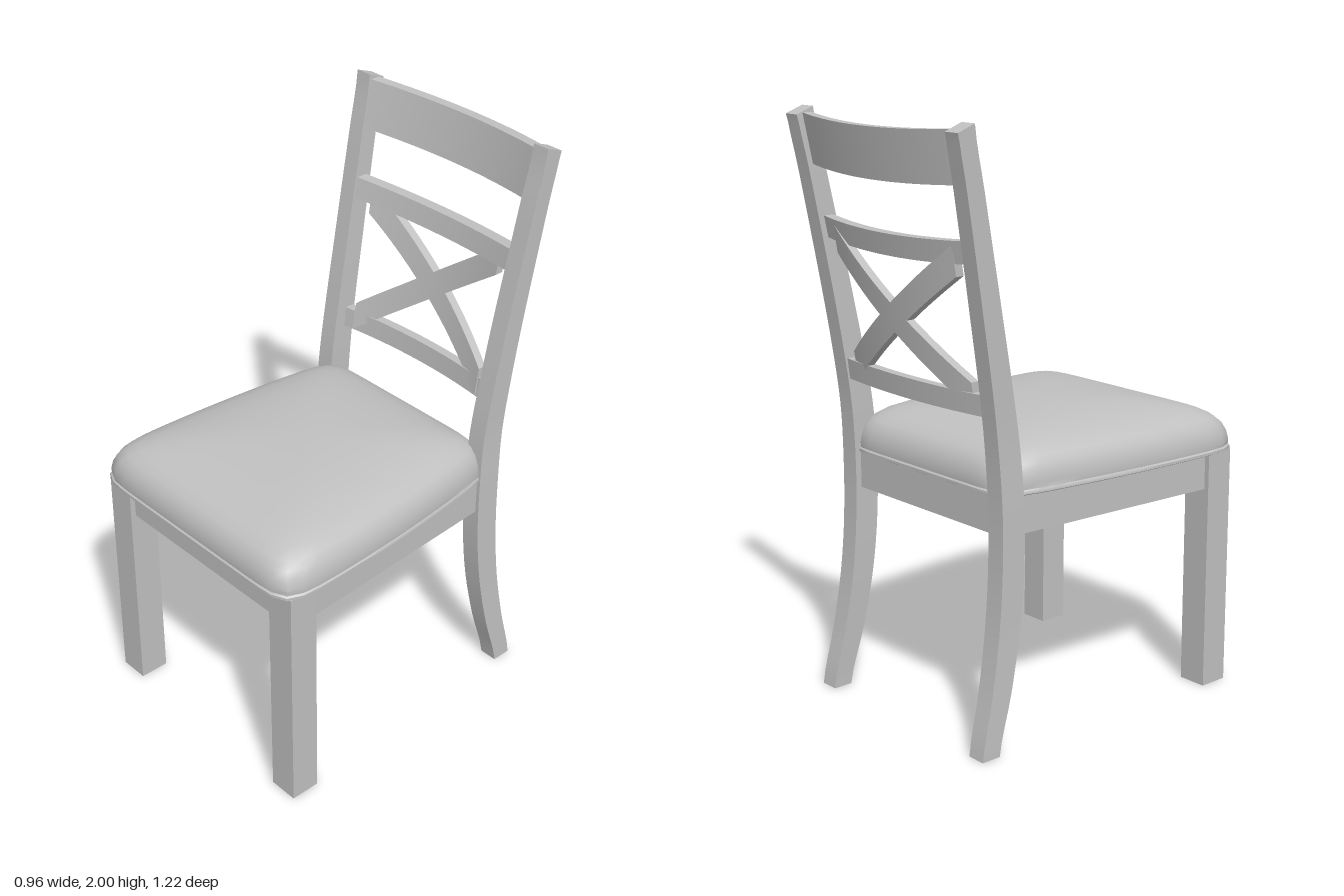
import * as THREE from 'three';
import { toCreasedNormals } from 'three/addons/utils/BufferGeometryUtils.js';

const grey = new THREE.MeshStandardMaterial({ color: 0xc0c0c0 });
grey.name = 'plain grey';

function add(group, name, geometry) {
  const mesh = new THREE.Mesh(geometry, grey);
  mesh.name = name;
  group.add(mesh);
  return mesh;
}

// Subdivided box whose vertices are moved by a rule
function bentBox(w, h, d, sx, sy, rule) {
  const geo = new THREE.BoxGeometry(w, h, d, sx, sy, 1);
  const pos = geo.attributes.position;
  const p = new THREE.Vector3();
  for (let i = 0; i < pos.count; i++) {
    rule(p.fromBufferAttribute(pos, i));
    pos.setXYZ(i, p.x, p.y, p.z);
  }
  geo.computeVertexNormals();
  return geo;
}

// Back post: [x centre, z centre, width, depth] at equal height steps of 0.2
const POST = [
  [0.395, -0.469, 0.066, 0.07], [0.389, -0.42, 0.068, 0.08], [0.383, -0.383, 0.07, 0.086],
  [0.38, -0.364, 0.07, 0.09], [0.378, -0.362, 0.07, 0.09], [0.375, -0.375, 0.066, 0.087],
  [0.378, -0.405, 0.065, 0.08], [0.382, -0.441, 0.064, 0.075], [0.388, -0.479, 0.063, 0.07],
  [0.394, -0.518, 0.062, 0.066], [0.4, -0.557, 0.06, 0.064],
];

function postGeometry(side) {
  const centre = new THREE.SplineCurve(POST.map(r => new THREE.Vector2(r[0], r[1])));
  const size = new THREE.SplineCurve(POST.map(r => new THREE.Vector2(r[2], r[3])));
  return bentBox(1, 2, 1, 1, 40, p => {
    const t = (p.y + 1) / 2;
    const c = centre.getPoint(t), s = size.getPoint(t);
    // the top end is cut slightly sloping
    p.y = 2 * t - (t > 0.999 ? 0.024 * (0.5 - p.z) : 0);
    p.x = side * c.x + p.x * s.x;
    p.z = c.y + p.z * s.y;
  });
}

// Back rail bowed backwards in plan, leaning with the posts
function railGeometry({ y, h, d, z, bow, lean, dip }) {
  return bentBox(0.76, h, d, 24, 1, p => {
    const k = 1 - (p.x / 0.38) ** 2;
    p.z += z - bow * k - lean * p.y;
    p.y += y - dip * k;
  });
}

// Diagonal strip of the cross brace
function braceGeometry(side) {
  return bentBox(1, 0.098, 0.03, 24, 1, p => {
    const u = p.x * 2;                       // -1 lower end, 1 upper end
    const x = 0.3 * u;
    p.y += 1.365 + 0.216 * u;
    p.x = side * x;
    if (side < 0) p.z = -p.z;                // keeps faces outward when mirrored
    p.z += -0.449 - 0.04 * (1 - u * u) - 0.17 * (p.y - 1.365);
  });
}

// Cushion made of nested rounded outlines: [inset, height]
function cushionGeometry() {
  const rings = [
    [0.504, 0.835], [0.008, 0.835], [0, 0.839], [0, 0.848], [0.005, 0.853], [0.004, 0.87],
    [0.01, 0.9], [0.022, 0.928], [0.042, 0.95], [0.075, 0.969], [0.12, 0.985],
    [0.19, 1.0], [0.28, 1.012], [0.39, 1.019], [0.504, 1.022],
  ];
  const N = 80, verts = [], index = [];
  rings.forEach(([inset, y], j) => {
    const n = 12 - 8 * Math.min(1, inset / 0.4);
    const k = 1 - inset / 0.505;
    for (let i = 0; i < N; i++) {
      const a = (i / N) * Math.PI * 2, c = Math.cos(a), s = Math.sin(a);
      const r = (Math.abs(c) ** n + Math.abs(s) ** n) ** (-1 / n);
      const v = s * r * k;                   // depth position, -1 back to 1 front
      const half = 0.464 + 0.043 * v - 0.024 * v * v;
      verts.push(c * r * k * half, y, 0.105 + 0.505 * v);
      if (j < rings.length - 1) {
        const p = j * N + i, q = j * N + (i + 1) % N;
        index.push(p, p + N, q, q, p + N, q + N);
      }
    }
  });
  const geo = new THREE.BufferGeometry();
  geo.setAttribute('position', new THREE.Float32BufferAttribute(verts, 3));
  geo.setIndex(index);
  return toCreasedNormals(geo, 0.75);
}

export function createModel() {
  const chair = new THREE.Group();
  chair.name = 'diningChair';

  add(chair, 'seatCushion', cushionGeometry());

  for (const side of [1, -1]) {
    const label = side > 0 ? 'left' : 'right';
    add(chair, label + 'BackPost', postGeometry(side));
    add(chair, label + 'FrontLeg', new THREE.BoxGeometry(0.105, 0.84, 0.105))
      .position.set(side * 0.4125, 0.42, 0.5225);
    // Side apron follows the taper of the seat
    add(chair, label + 'Apron', bentBox(0.05, 0.128, 0.86, 1, 1, p => {
      p.x += side * (0.398 + 0.06 * p.z);
      p.y += 0.774;
      p.z += 0.07;
    }));
    add(chair, label + 'CrossBrace', braceGeometry(side));
  }

  add(chair, 'frontApron', new THREE.BoxGeometry(0.74, 0.128, 0.05)).position.set(0, 0.774, 0.53);
  add(chair, 'backApron', new THREE.BoxGeometry(0.72, 0.128, 0.05)).position.set(0, 0.774, -0.36);

  add(chair, 'topRail', railGeometry(
    { y: 1.9, h: 0.165, d: 0.035, z: -0.53, bow: 0.05, lean: 0.2, dip: 0.013 }));
  add(chair, 'middleRail', railGeometry(
    { y: 1.613, h: 0.072, d: 0.04, z: -0.47, bow: 0.04, lean: 0.2, dip: 0.013 }));
  add(chair, 'lowerRail', railGeometry(
    { y: 1.13, h: 0.07, d: 0.032, z: -0.405, bow: 0.032, lean: 0.12, dip: 0 }));

  return chair;
}
